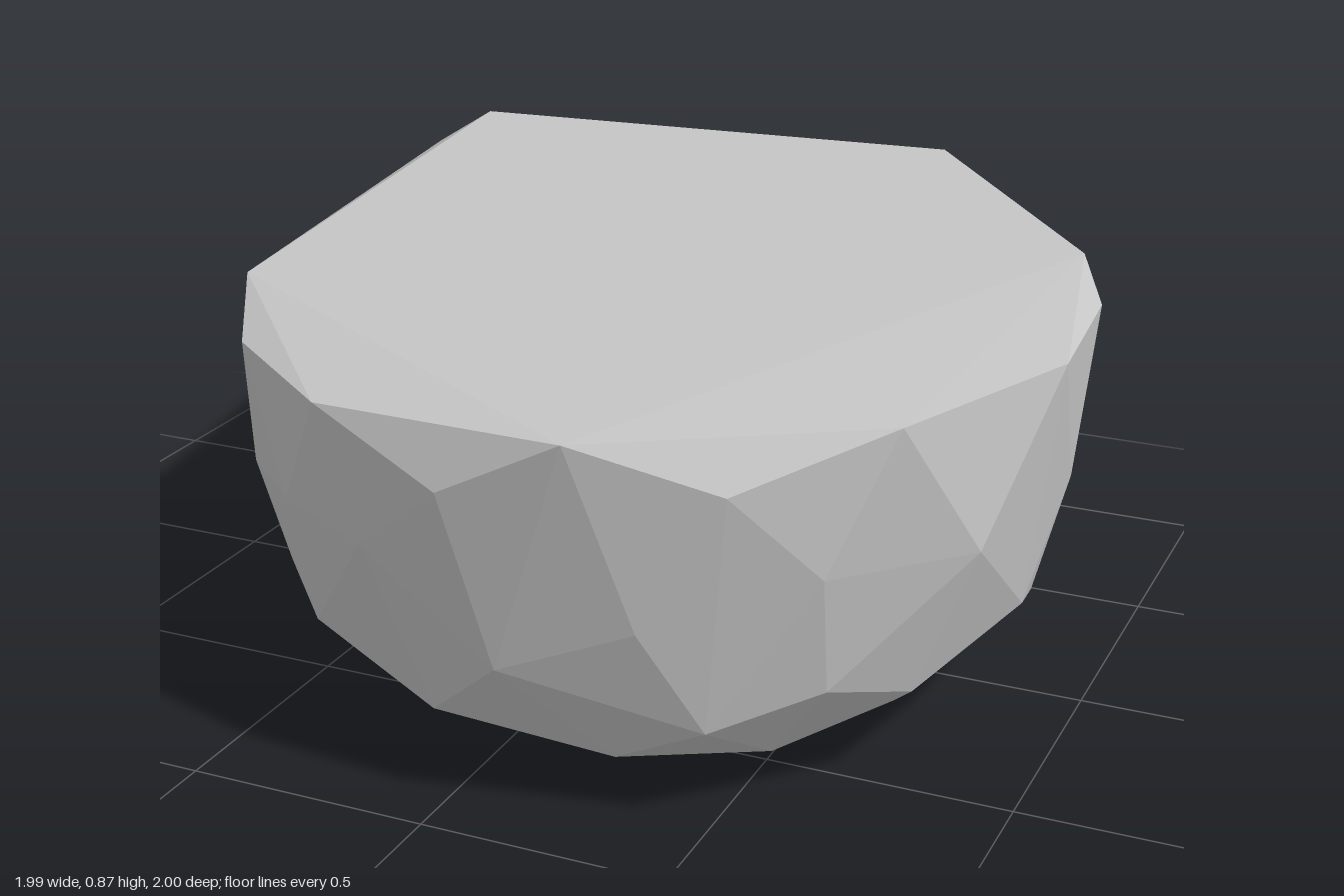
import * as THREE from 'three';
import { ConvexGeometry } from 'three/addons/geometries/ConvexGeometry.js';

export function createModel() {
  const group = new THREE.Group();
  group.name = 'boulder';
  const stone = new THREE.MeshStandardMaterial({ color: 0xc5c5c5 });
  stone.name = 'light grey stone';

  // Corners of the faceted stone, by region
  const topRim = [
    [-0.8, 0.87, -0.87], [0.36, 0.87, -0.97], [0.87, 0.86, -0.31], [0.96, 0.82, -0.11],
    [0.99, 0.82, 0.26], [0.81, 0.81, 0.68], [0.3, 0.81, 1], [-0.25, 0.775, 0.91],
    [-0.56, 0.77, 0.66], [-0.71, 0.82, 0.4],
  ];
  const back = [
    [-1, 0.75, -0.975], [0.62, 0.69, -1], [0.54, 0.35, -0.92], [0.19, 0.265, -1],
    [-0.16, 0.255, -1], [-0.515, 0.33, -1], [-0.8, 0.48, -1],
  ];
  const sides = [
    [0.05, 0.68, 1], [0.56, 0.71, 0.88], [0.7, 0.53, 0.76], [0.4, 0.43, 0.91],
    [-0.17, 0.5, 0.9], [-0.4, 0.51, 0.78], [-0.59, 0.49, 0.59], [-0.85, 0.65, 0],
    [-0.91, 0.6, -0.3], [-0.8, 0.33, -0.42], [0.94, 0.48, -0.03], [0.91, 0.52, 0.5],
  ];
  const lowerRing = [
    [0.13, 0.32, 0.94], [0.5, 0.21, 0.82], [0.69, 0.28, 0.7], [0.79, 0.21, 0.5],
    [0.92, 0.3, 0.22], [0.88, 0.23, 0], [-0.38, 0.23, 0.72], [-0.06, 0.15, 0.83],
    [0.3, 0.1, 0.78], [-0.58, 0.23, 0.49], [-0.62, 0.18, 0.25],
  ];
  const underside = [
    [0.1, 0, 0.2], [0.32, 0.015, 0.05], [-0.2, 0.03, 0.4], [0.1, 0.03, 0.52],
    [0.555, 0.09, 0.62], [0.69, 0.075, 0.3], [0.6, 0.08, -0.12], [-0.45, 0.09, 0.1],
    [0.05, 0.035, -0.25], [0.05, 0.11, -0.54],
  ];

  // Flat facets wrapped around all the corners
  const points = [topRim, back, sides, lowerRing, underside].flat()
    .map((p) => new THREE.Vector3(...p));
  const rock = new THREE.Mesh(new ConvexGeometry(points), stone);
  rock.name = 'rock';
  group.add(rock);
  return group;
}
